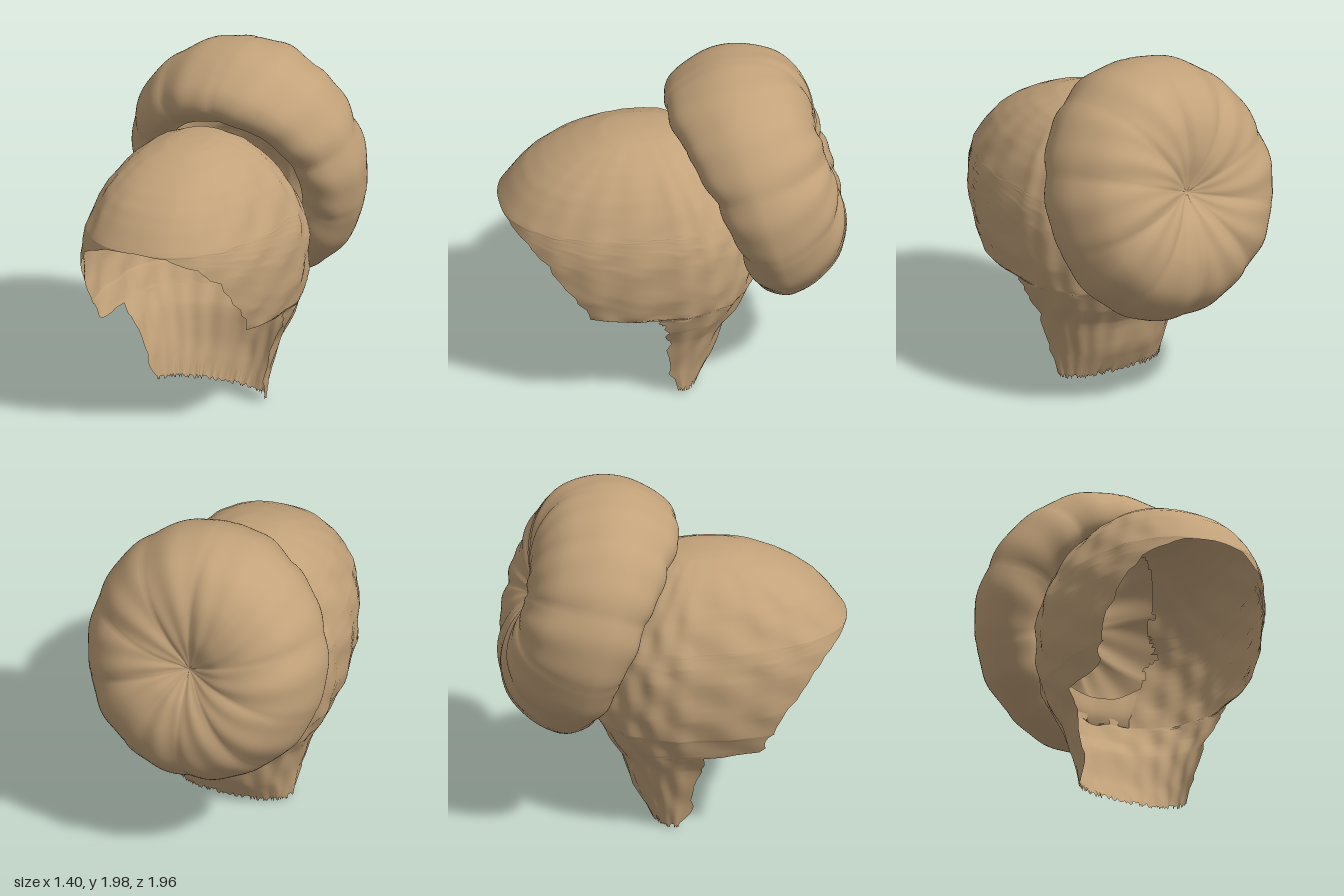
import * as THREE from 'three';
import { mergeVertices } from 'three/addons/utils/BufferGeometryUtils.js';

const lerp = THREE.MathUtils.lerp;
let seed = 7;
const rand = () => (seed = (seed * 16807) % 2147483647) / 2147483647 - 0.5;

// Surface from rows of points, welded so the seams shade smoothly
function gridSurface(rows, cols, point, skip = () => false) {
  const pos = [], idx = [];
  for (let i = 0; i <= rows; i++)
    for (let j = 0; j <= cols; j++) pos.push(...point(i, j));
  for (let i = 0; i < rows; i++)
    for (let j = 0; j < cols; j++) {
      const a = i * (cols + 1) + j, b = a + 1, c = a + cols + 1, d = c + 1;
      if (skip(pos[a * 3 + 1], pos[a * 3 + 2])) continue;
      idx.push(a, b, c, b, d, c);
    }
  let g = new THREE.BufferGeometry();
  g.setAttribute('position', new THREE.Float32BufferAttribute(pos, 3));
  g.setIndex(idx);
  g = mergeVertices(g, 1e-4);
  g.computeVertexNormals();
  return g;
}

// Horizontal sections: y, back z, middle z, front z, half width;
// open ones add the z of the ragged edge at left and right
const SECTIONS = [
  [1.62, 0.2, 0.2, 0.2, 0],
  [1.615, 0.08, 0.2, 0.3, 0.09],
  [1.6, -0.03, 0.18, 0.4, 0.16],
  [1.55, -0.12, 0.16, 0.54, 0.275],
  [1.5, -0.17, 0.145, 0.645, 0.34],
  [1.45, -0.21, 0.13, 0.73, 0.39],
  [1.38, -0.26, 0.115, 0.82, 0.445],
  [1.3, -0.32, 0.1, 0.89, 0.49],
  [1.185, -0.38, 0.1, 0.97, 0.54],
  [1.17, -0.39, 0.1, 0.97, 0.545, 0.94, 0.94],
  [1.1, -0.43, 0.1, 0.98, 0.565, 0.85, 0.85],
  [1.0, -0.46, 0.1, 0.98, 0.578, 0.75, 0.75],
  [0.8, -0.475, 0.1, 0.94, 0.572, 0.6, 0.6],
  [0.65, -0.46, 0.1, 0.89, 0.54, 0.5, 0.52],
  [0.63, -0.45, 0.1, 0.88, 0.53, 0.12, 0.5],
  [0.53, -0.4, 0.08, 0.85, 0.49, 0.07, 0.45],
  [0.51, -0.39, 0.08, 0.85, 0.48, 0.06, 0.14],
  [0.4, -0.31, 0.05, 0.8, 0.425, 0.04, 0.11],
  [0.2, -0.25, 0.05, 0.8, 0.365, 0.04, 0.07],
  [0.03, -0.15, 0.0, 0.8, 0.335, 0.0, 0.02],
];
const FULL = 0.85; // below 1 makes the sections fuller than an ellipse
const bulge = v => Math.sign(v) * Math.pow(Math.abs(v), FULL);

// Front limit of the bun, where the cap opens into it
const junction = y => -0.455 + 0.4 * Math.pow(Math.max(0, (y - 0.62) / 0.98), 2.2);

function hairCap() {
  const SUB = 4, COLS = 140, rows = (SECTIONS.length - 1) * SUB;
  // Angle from the back of the head to the edge of a section
  const reach = (section, side) => {
    const [, , mid, front] = section, edge = section[side];
    if (edge === undefined) return Math.PI;
    const f = THREE.MathUtils.clamp((edge - mid) / (front - mid), -1, 1);
    return Math.PI / 2 + Math.asin(Math.sign(f) * Math.pow(Math.abs(f), 1 / FULL));
  };
  const data = [];
  for (let i = 0; i <= rows; i++) {
    const k = Math.min(Math.floor(i / SUB), SECTIONS.length - 2), t = i / SUB - k;
    const A = SECTIONS[k], B = SECTIONS[k + 1];
    const s = A.slice(0, 5).map((v, n) => lerp(v, B[n], t));
    const ends = [5, 6].map(side => lerp(reach(A, side), reach(B, side), t));
    data.push([...s, ...ends.map(e => (e > 3.14 ? e : e + rand() * 0.05))]);
  }
  const fringe = Array.from({ length: COLS + 1 }, () => rand() * 0.03);
  const point = (i, j) => {
    const [y, back, mid, front, w, left, right] = data[i];
    const a = lerp(-right, left, j / COLS);
    // Combed strands, sweeping as they fall
    const fade = Math.min(1, w / 0.45);
    const wave = 1 + fade * (0.009 * Math.cos(a * 22) + 0.01 * Math.sin(Math.abs(a) * 13 + y * 24));
    const c = bulge(Math.cos(a));
    return [
      w * bulge(Math.sin(a)) * wave,
      y + (i === rows ? fringe[j] : 0),
      mid - c * (c > 0 ? (mid - back) * wave : front - mid),
    ];
  };
  return gridSurface(rows, COLS, point, (y, z) => y > 0.63 && z < junction(y));
}

// Bun profile: radius, distance along its axis (positive is the back), open where it meets the cap
const BUN = [
  [0, 0.31], [0.06, 0.335], [0.22, 0.4], [0.42, 0.405], [0.6, 0.32], [0.71, 0.16], [0.75, 0],
  [0.73, -0.15], [0.66, -0.3], [0.55, -0.35], [0.44, -0.28],
];

function hairBun() {
  const ROWS = 60, COLS = 160;
  const profile = new THREE.SplineCurve(BUN.map(p => new THREE.Vector2(...p))).getPoints(ROWS);
  const point = (i, j) => {
    const th = (j % COLS) / COLS * Math.PI * 2;
    let { x: r, y: n } = profile[i];
    // The upper front leans out over the crown
    const up = (1 + Math.sin(th)) / 2;
    if (n < 0) n *= lerp(0.55, 1.05, Math.pow(up, 2.2));
    // Soft uneven lobes, with creases gathered at the middle of the back
    const lobe = Math.pow(Math.abs(Math.cos(5 * th)), 0.8) - 0.8;
    const fine = 0.004 * Math.sin(th * 17 + r * 9) + 0.006 * Math.sin(th * 3 + r * 6);
    const swell = Math.sin(Math.min(1, r / 0.45) * Math.PI / 2);
    const rr = r * (1 + swell * (0.01 * lobe + fine));
    n += swell * THREE.MathUtils.clamp(n * 5, -1, 1) * (0.016 * lobe + fine);
    const l = rr * Math.sin(th);
    return [rr * 0.93 * Math.cos(th), 1.265 + 0.963 * l + 0.27 * n, -0.49 + 0.27 * l - 0.963 * n];
  };
  return gridSurface(ROWS, COLS, point);
}

export function createModel() {
  const hair = new THREE.MeshStandardMaterial({ color: 0xc2a27a, side: THREE.DoubleSide });
  hair.name = 'tan hair';
  const model = new THREE.Group();
  model.name = 'hairstyle';
  for (const [name, geometry] of [['hairCap', hairCap()], ['hairBun', hairBun()]]) {
    const mesh = new THREE.Mesh(geometry, hair);
    mesh.name = name;
    model.add(mesh);
  }
  return model;
}
